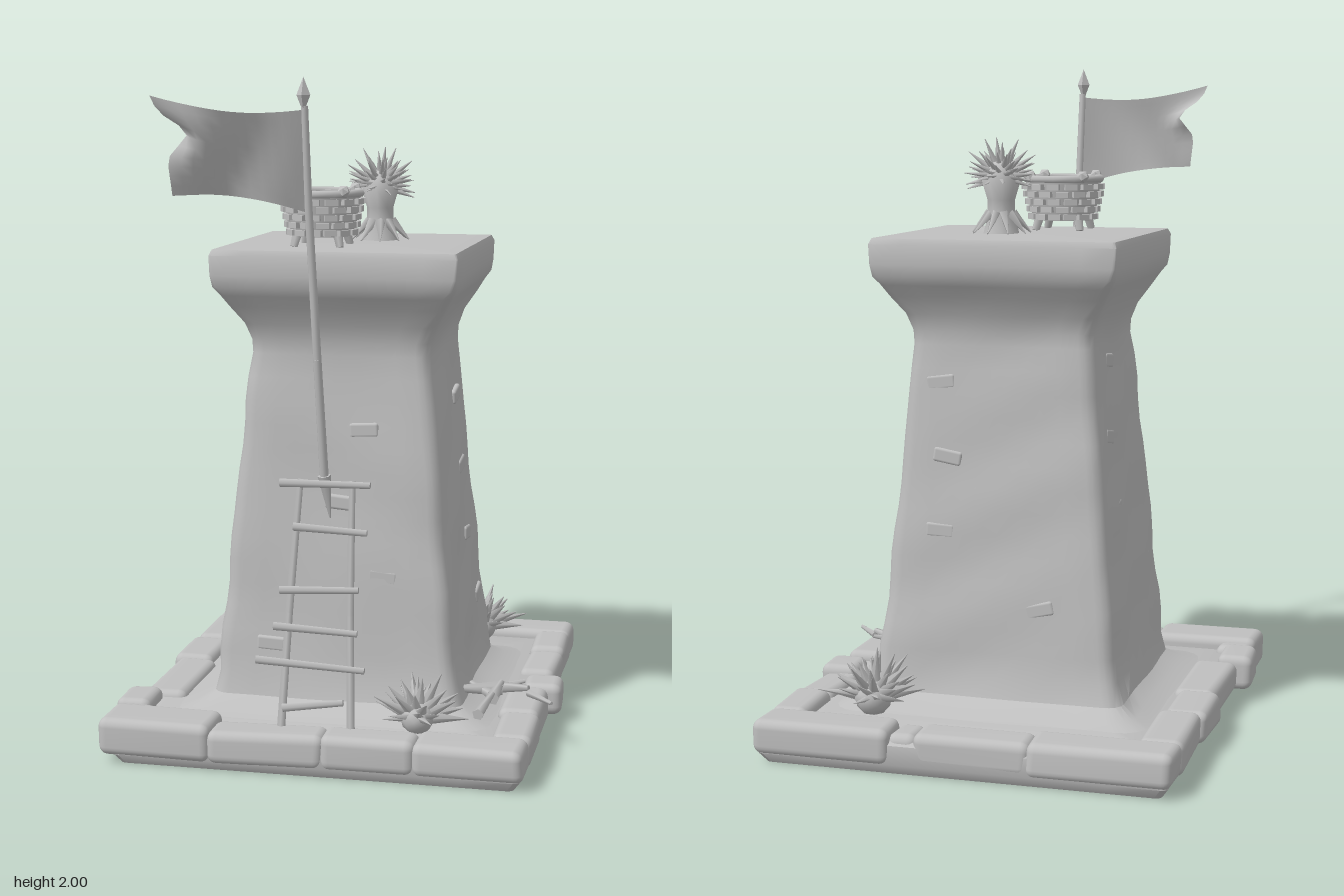
import * as THREE from 'three';
import { mergeVertices, toCreasedNormals } from 'three/addons/utils/BufferGeometryUtils.js';
import { RoundedBoxGeometry } from 'three/addons/geometries/RoundedBoxGeometry.js';

const clay = new THREE.MeshStandardMaterial({ color: 0xbfbfbf, side: THREE.DoubleSide });
clay.name = 'grey clay';
const V = (x, y, z) => new THREE.Vector3(x, y, z);

function add(parent, name, geometry, x = 0, y = 0, z = 0) {
  const m = new THREE.Mesh(geometry, clay);
  m.name = name;
  m.position.set(x, y, z);
  parent.add(m);
  return m;
}

function group(parent, name, x = 0, y = 0, z = 0) {
  const g = new THREE.Group();
  g.name = name;
  g.position.set(x, y, z);
  parent.add(g);
  return g;
}

function seeded(seed) {
  return () => {
    seed = (seed * 16807) % 2147483647;
    return seed / 2147483647;
  };
}

// Smooth hand-worn unevenness
const wobble = (x, y, z) =>
  Math.sin(x * 13 + y * 9 + 1) * Math.sin(y * 14 - z * 8 + 2) * 0.6 + Math.sin(z * 15 + y * 17 + x * 5) * 0.4;

// Thin bar between two points
function bar(parent, name, a, b, r0, r1 = r0, sides = 6) {
  const m = add(parent, name, new THREE.CylinderGeometry(r1, r0, a.distanceTo(b), sides));
  m.position.copy(a).add(b).multiplyScalar(0.5);
  m.quaternion.setFromUnitVectors(V(0, 1, 0), b.clone().sub(a).normalize());
  return m;
}

// Rounded-square tube built from rows of [y, half width, half depth, corner radius, wear]
function squareLoft(rows) {
  const pos = [], index = [], side = 8, arc = 4, n = 4 * (side + arc);
  for (const [y, hx, hz, r, wear] of rows) {
    for (let q = 0; q < 4; q++) {
      const h = q % 2 ? [hz, hx] : [hx, hz], c = Math.cos(q * Math.PI / 2), s = Math.sin(q * Math.PI / 2);
      for (let i = 0; i < side + arc; i++) {
        const t = Math.max(0, i - side) / arc * Math.PI / 2;
        const u = h[0] - r + r * Math.cos(t);
        const v = i <= side ? (h[1] - r) * (2 * i / side - 1) : h[1] - r + r * Math.sin(t);
        const x = u * c - v * s, z = u * s + v * c;
        const k = 1 + wear * wobble(x, y, z);
        pos.push(x * k, y, z * k);
      }
    }
  }
  for (let j = 0; j < rows.length - 1; j++) {
    for (let i = 0; i < n; i++) {
      const a = j * n + i, b = j * n + (i + 1) % n;
      index.push(a, a + n, b, b, a + n, b + n);
    }
  }
  const g = new THREE.BufferGeometry();
  g.setAttribute('position', new THREE.Float32BufferAttribute(pos, 3));
  g.setIndex(index);
  return toCreasedNormals(g, 0.7);
}

// Worn stone block filling the given plan rectangle
function stone(parent, x0, x1, z0, z1, top) {
  const w = x1 - x0, d = z1 - z0, h = top - 0.025;
  let g = new RoundedBoxGeometry(w, h, d, 3, 0.028);
  g.deleteAttribute('normal');
  g.deleteAttribute('uv');
  g = mergeVertices(g);
  const p = g.attributes.position;
  for (let i = 0; i < p.count; i++) {
    const k = 0.006 * wobble(p.getX(i) + x0, p.getY(i), p.getZ(i) + z0);
    p.setXYZ(i, p.getX(i) + k, p.getY(i) + k * 0.5, p.getZ(i) - k);
  }
  g.computeVertexNormals();
  add(parent, 'rimStone', g, (x0 + x1) / 2, 0.025 + h / 2, (z0 + z1) / 2);
}

// Clump of pointed leaves fanning from one point
function bush(parent, name, x, y, z, radius, count, low, thick, seed) {
  const g = group(parent, name, x, y, z), rnd = seeded(seed);
  add(g, 'core', new THREE.IcosahedronGeometry(radius * 0.36, 1));
  for (let i = 0; i < count; i++) {
    const up = low + (1 - low) * (i + 0.5) / count, a = i * 2.4 + rnd() * 0.5, f = Math.sqrt(1 - up * up);
    const dir = V(f * Math.cos(a), up, f * Math.sin(a)), len = radius * (0.72 + 0.4 * rnd());
    const leaf = bar(g, 'leaf', dir.clone().multiplyScalar(radius * 0.15), dir.clone().multiplyScalar(len), thick, 0.001, 4);
    leaf.scale.z = 0.5;
  }
  return g;
}

// Cloth waving away from the pole, with a torn free edge
function flagCloth() {
  const g = new THREE.PlaneGeometry(1, 1, 12, 10), p = g.attributes.position;
  for (let i = 0; i < p.count; i++) {
    const u = p.getX(i) + 0.5, v = p.getY(i) + 0.5;
    const tear = 0.055 * Math.exp(-(((v - 0.62) / 0.16) ** 2)) * u ** 6;
    const top = 1.91 + 0.04 * u * u - 0.015 * Math.sin(u * Math.PI);
    const bottom = 1.62 + 0.06 * u + 0.02 * Math.sin(u * Math.PI);
    const ripple = 0.025 * Math.sin(u * 8 + v * 3) * u;
    p.setXYZ(i, -0.03 - u * (0.335 + 0.02 * v ** 4) + tear + ripple * 0.6,
      bottom + (top - bottom) * v, 0.46 + 0.03 * v + u * (0.235 + 0.055 * v) - tear + ripple);
  }
  g.computeVertexNormals();
  return g;
}

export function createModel() {
  const model = new THREE.Group();
  model.name = 'stoneWatchtower';

  // Base slab with irregular rim stones
  const base = group(model, 'base');
  const slab = add(base, 'slab', squareLoft([
    [0, 0, 0, 0, 0], [0, 0.585, 0.665, 0.02, 0], [0.03, 0.605, 0.685, 0.02, 0],
    [0.085, 0.6, 0.68, 0.02, 0], [0.1, 0.58, 0.66, 0.02, 0], [0.1, 0.3, 0.3, 0.02, 0]]));
  slab.position.z = -0.095;
  const stones = [
    [-0.62, -0.2, -0.785, -0.64, 0.13], [-0.21, 0.13, -0.78, -0.65, 0.125], [0.12, 0.21, -0.765, -0.64, 0.115],
    [0.2, 0.615, -0.79, -0.64, 0.13], [-0.62, -0.49, -0.66, -0.35, 0.13], [-0.635, -0.5, -0.36, -0.12, 0.125],
    [-0.615, -0.48, -0.13, 0.24, 0.12], [-0.66, -0.55, 0.23, 0.4, 0.135], [-0.645, -0.3, 0.43, 0.6, 0.14],
    [-0.64, -0.52, 0.38, 0.5, 0.125], [-0.31, 0.03, 0.47, 0.6, 0.125], [0.02, 0.3, 0.48, 0.6, 0.13],
    [0.29, 0.615, 0.45, 0.6, 0.125], [0.5, 0.62, 0.22, 0.47, 0.125], [0.49, 0.615, -0.02, 0.24, 0.13],
    [0.53, 0.65, -0.18, -0.04, 0.125], [0.5, 0.615, -0.44, -0.22, 0.12], [0.5, 0.615, -0.66, -0.43, 0.13]];
  for (const s of stones) stone(base, ...s);

  // Tapered tower flaring into a square cap
  const rows = [[0.09, 0.52, 0.5, 0.1, 0.02], [0.112, 0.43, 0.41, 0.07, 0.02], [0.14, 0.385, 0.36, 0.05, 0.02],
    [0.2, 0.37, 0.345, 0.045, 0.02]];
  for (let i = 1; i <= 14; i++) {
    const t = i / 14;
    rows.push([0.2 + t * 0.98, 0.37 - 0.092 * t, 0.345 - 0.07 * t, 0.045, 0.022]);
  }
  rows.push([1.22, 0.28, 0.278, 0.045, 0.015], [1.27, 0.295, 0.293, 0.04, 0.01], [1.325, 0.328, 0.328, 0.03, 0.008],
    [1.36, 0.348, 0.35, 0.025, 0.005], [1.385, 0.366, 0.368, 0.02, 0.003], [1.42, 0.371, 0.373, 0.012, 0.002],
    [1.48, 0.373, 0.375, 0.01, 0.002], [1.497, 0.365, 0.367, 0.01, 0.002], [1.5, 0.3, 0.3, 0.01, 0], [1.5, 0, 0, 0, 0]);
  add(model, 'tower', squareLoft(rows), -0.003, 0, -0.073);

  // Chipped bricks standing slightly out of the walls
  const chips = group(model, 'wallChips'), rnd = seeded(41);
  for (let i = 0; i < 16; i++) {
    const y = 0.3 + 0.055 * i, t = (y - 0.2) / 0.98, a = (i % 4) * Math.PI / 2;
    const off = (i % 2 ? 0.37 - 0.092 * t : 0.345 - 0.07 * t) - 0.006, side = (rnd() - 0.5) * 0.4;
    const c = add(chips, 'chip', new RoundedBoxGeometry(0.09, 0.045, 0.02, 2, 0.009),
      Math.sin(a) * off + Math.cos(a) * side, y, Math.cos(a) * off - Math.sin(a) * side - 0.073);
    c.rotation.set(0, a, (rnd() - 0.5) * 0.5);
  }

  // Ladder leaning toward the wall
  const ladder = group(model, 'ladder');
  const ladderZ = y => 0.505 - 0.155 * (y - 0.1);
  for (const [x0, x1] of [[-0.11, -0.075], [0.1, 0.08]]) {
    const mid = V((x0 + x1) / 2 - 0.006, 0.45, ladderZ(0.45) - 0.01);
    bar(ladder, 'rail', V(x0, 0.1, ladderZ(0.1)), mid, 0.013, 0.012, 5);
    bar(ladder, 'rail', mid, V(x1, 0.84, ladderZ(0.84)), 0.012, 0.01, 5);
  }
  for (const [x0, x1, y0, y1] of [[-0.135, 0.135, 0.83, 0.832], [-0.09, 0.13, 0.705, 0.695], [-0.125, 0.11, 0.52, 0.53],
    [-0.14, 0.11, 0.415, 0.405], [-0.19, 0.135, 0.315, 0.3], [-0.105, 0.075, 0.18, 0.205]])
    bar(ladder, 'rung', V(x0, y0, ladderZ(y0) + 0.01), V(x1, y1, ladderZ(y1) + 0.01), 0.013, 0.01, 5);

  // Flag on a slightly bent pole
  const flag = group(model, 'flag');
  const path = [V(0.005, 0.72, 0.355), V(-0.008, 0.85, 0.375), V(-0.016, 1.2, 0.425), V(-0.03, 1.64, 0.468), V(-0.034, 1.92, 0.495)];
  bar(flag, 'poleSpike', path[1], path[0], 0.02, 0.002);
  for (let i = 1; i < 4; i++) bar(flag, 'pole', path[i], path[i + 1], 0.0145 - i * 0.001, 0.0135 - i * 0.001, 8);
  const tip = add(flag, 'spearTip', new THREE.OctahedronGeometry(0.05), -0.036, 1.95, 0.499);
  tip.scale.set(0.4, 1, 0.45);
  add(flag, 'cloth', flagCloth());

  // Woven basket holding a round load
  const basket = group(model, 'basket', -0.075, 1.5, 0.1);
  const profile = [[0.001, 0.03], [0.09, 0.03], [0.105, 0.07], [0.12, 0.16], [0.105, 0.16], [0.09, 0.07]];
  add(basket, 'shell', toCreasedNormals(new THREE.LatheGeometry(profile.map(p => new THREE.Vector2(...p)), 16), 0.6));
  for (let r = 0; r < 5; r++) {
    for (let i = 0; i < 14; i++) {
      const a = (i + (r % 2) / 2) / 14 * Math.PI * 2, rad = 0.1 + r * 0.005;
      const w = add(basket, 'weave', new THREE.BoxGeometry(0.038, 0.017, 0.018),
        Math.sin(a) * rad, 0.042 + r * 0.023, Math.cos(a) * rad);
      w.rotation.y = a;
    }
  }
  const rim = add(basket, 'rim', new THREE.TorusGeometry(0.118, 0.012, 6, 12), 0, 0.158, 0);
  rim.rotation.x = Math.PI / 2;
  for (let i = 0; i < 4; i++) {
    const a = (i + 0.5) * Math.PI / 2, x = Math.sin(a), z = Math.cos(a);
    add(basket, 'rimKnot', new THREE.IcosahedronGeometry(0.02, 0), x * 0.118, 0.165, z * 0.118);
    bar(basket, 'foot', V(x * 0.1, 0, z * 0.1), V(x * 0.085, 0.045, z * 0.085), 0.012, 0.016, 5);
  }
  const load = add(basket, 'roundLoad', new THREE.SphereGeometry(0.098, 20, 12), 0, 0.09, 0);
  load.scale.y = 0.6;

  // Spiky plants on the ground and on the cap
  bush(model, 'frontBush', 0.28, 0.15, 0.42, 0.14, 30, 0.02, 0.022, 7);
  bush(model, 'backBush', 0.32, 0.16, -0.57, 0.155, 34, 0.02, 0.022, 19);
  bush(model, 'roofBush', 0.055, 1.67, -0.14, 0.115, 56, -0.35, 0.014, 5);
  const trunk = [[0.055, 0], [0.042, 0.05], [0.042, 0.1], [0.06, 0.16], [0.03, 0.21], [0.001, 0.22]];
  add(model, 'roofBushTrunk', new THREE.LatheGeometry(trunk.map(p => new THREE.Vector2(...p)), 9), 0.055, 1.5, -0.14);
  for (let i = 0; i < 9; i++) {
    const a = i / 9 * Math.PI * 2, c = Math.cos(a), s = Math.sin(a);
    bar(model, 'roofBushRoot', V(0.055 + c * 0.035, 1.56, -0.14 + s * 0.035), V(0.055 + c * 0.09, 1.502, -0.14 + s * 0.09), 0.016, 0.002, 4);
  }

  // Dry branch lying by the left wall
  const branch = group(model, 'dryBranch');
  const twigs = [[0.45, 0.36, 0.47, 0.2, 0.018], [0.47, 0.2, 0.48, 0.08, 0.022], [0.48, 0.08, 0.57, 0.12, 0.018],
    [0.57, 0.12, 0.65, 0.21, 0.012], [0.48, 0.1, 0.37, 0.17, 0.024], [0.46, 0.16, 0.39, 0.1, 0.016], [0.48, 0.08, 0.55, 0.05, 0.012]];
  for (const [x0, z0, x1, z1, r] of twigs)
    bar(branch, 'twig', V(x0, 0.15, z0), V(x1, x1 > 0.6 ? 0.15 : 0.165, z1), r, r * 0.5, 5);

  return model;
}
